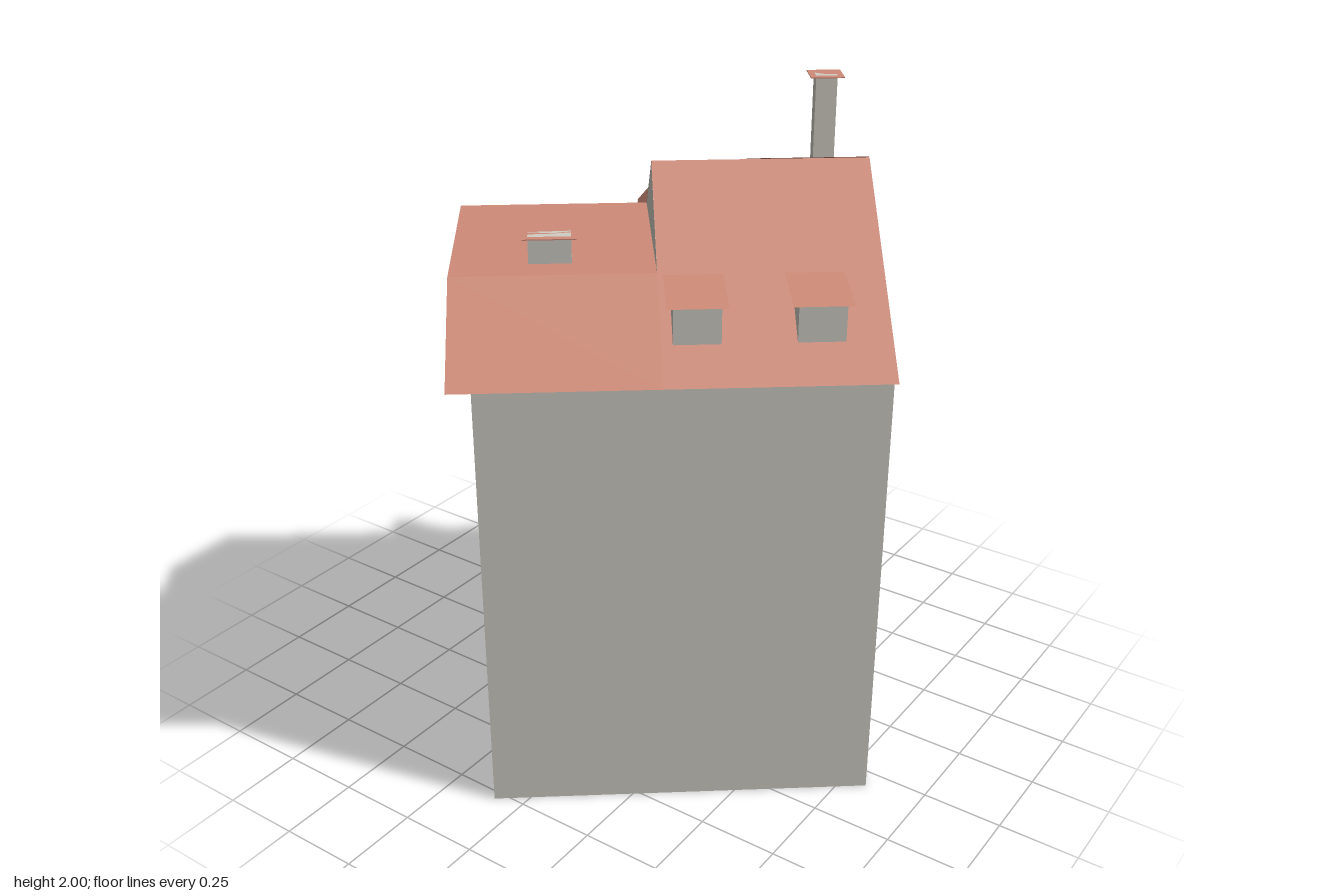
import * as THREE from 'three';

const wallMat = new THREE.MeshStandardMaterial({ color: 0xd0cdc4, side: THREE.DoubleSide });
wallMat.name = 'greyPlaster';
const roofMat = new THREE.MeshStandardMaterial({ color: 0xcf8b78, side: THREE.DoubleSide });
roofMat.name = 'terracottaRoof';

const RIDGE = 1.86, EAVE = 1.41, HALF = 0.62;
const FLAT_Q = 0.317, STEP = -0.03, END = 0.612;
// Height of the main roof slope at distance q from the ridge
const roofY = (q) => RIDGE - (RIDGE - EAVE) * Math.abs(q) / HALF;

export function createModel() {
  const model = new THREE.Group();
  model.name = 'townHouse';
  const house = new THREE.Group();
  house.name = 'house';
  house.rotation.y = 0.663; // the house stands turned on its plot
  model.add(house);

  const add = (name, geometry, material) => {
    const mesh = new THREE.Mesh(geometry, material);
    mesh.name = name;
    house.add(mesh);
    return mesh;
  };

  // Wall block: section given as [z, y] points, run along x from x0 to x1
  const prism = (name, section, x0, x1) => {
    const shape = new THREE.Shape(section.map(([z, y]) => new THREE.Vector2(-z, y)));
    const g = new THREE.ExtrudeGeometry(shape, { depth: x1 - x0, bevelEnabled: false });
    g.rotateY(Math.PI / 2);
    g.translate(x0, 0, 0);
    add(name, g, wallMat);
  };

  // Thin flat sheet from three or four corners, lifted slightly off the walls
  const sheet = (name, pts, material = roofMat, lift = 0.004) => {
    const order = pts.length === 4 ? [0, 1, 2, 0, 2, 3] : [0, 1, 2];
    const pos = order.flatMap((i) => [pts[i][0], pts[i][1] + lift, pts[i][2]]);
    const g = new THREE.BufferGeometry();
    g.setAttribute('position', new THREE.Float32BufferAttribute(pos, 3));
    g.computeVertexNormals();
    add(name, g, material);
  };

  // Rectangle sheet between two heights; corners run counter-clockwise from above
  const slope = (name, x0, x1, zBack, yBack, zFront, yFront, lift) => sheet(name, [
    [x0, yBack, zBack], [x0, yFront, zFront], [x1, yFront, zFront], [x1, yBack, zBack],
  ], roofMat, lift);

  // Walls: low wing, tall wing, and tall wing with raised back
  const F = 0.56, B = -0.575, FLAT_Y = roofY(FLAT_Q);
  prism('lowWingWalls', [[B, 0], [F, 0], [F, roofY(F)], [FLAT_Q, FLAT_Y],
    [-FLAT_Q, FLAT_Y], [B, roofY(B)]], -0.55, STEP);
  prism('tallWingWalls', [[B, 0], [F, 0], [F, roofY(F)], [0, RIDGE], [B, roofY(B)]], STEP, 0.25);
  prism('raisedBackWalls', [[B, 0], [F, 0], [F, roofY(F)], [0, RIDGE], [B, 1.61]], 0.25, END);

  // Main roofs
  slope('lowRoofFront', -0.615, STEP, FLAT_Q, FLAT_Y, HALF, EAVE);
  slope('lowRoofTop', -0.615, STEP, -FLAT_Q, FLAT_Y, FLAT_Q, FLAT_Y);
  slope('lowRoofBack', -0.615, STEP, -HALF, EAVE, -FLAT_Q, FLAT_Y);
  slope('tallRoofFront', STEP, END, 0, RIDGE, HALF, EAVE);
  slope('tallRoofBack', STEP, END, -HALF, EAVE, 0, RIDGE);
  slope('raisedBackRoof', 0.25, END, -0.577, 1.61, 0, RIDGE, 0.006);

  // Front dormers with nearly flat roofs
  for (const x of [0.07, 0.414]) {
    prism('frontDormerWalls', [[0.508, roofY(0.508)], [0.508, 1.604], [0.33, 1.622]],
      x - 0.067, x + 0.067);
    slope('frontDormerRoof', x - 0.085, x + 0.085, 0.323, 1.626, 0.525, 1.602);
  }

  // Small gabled back dormer
  const gx = 0.004, gw = 0.057, gz = -0.449, eaveY = 1.598, topY = 1.664;
  for (const s of [-1, 1]) {
    const corners = [[gx, topY, gz], [gx + s * gw, eaveY, gz],
      [gx + s * gw, eaveY, -0.361], [gx, topY, -0.27]];
    sheet('gableDormerRoof', s < 0 ? corners : corners.reverse());
    const wx = gx + s * (gw - 0.004);
    sheet('gableDormerSide', [[wx, eaveY, gz], [wx, roofY(gz), gz], [wx, eaveY, -0.361]], wallMat, 0);
  }
  sheet('gableDormerFront', [[gx - gw, eaveY, gz], [gx + gw, eaveY, gz],
    [gx + gw, roofY(gz), gz], [gx - gw, roofY(gz), gz]], wallMat, 0);
  sheet('gableDormerPeak', [[gx - gw, eaveY, gz], [gx, topY, gz], [gx + gw, eaveY, gz]], wallMat, 0);

  // Half dormer leaning on the raised back
  const hz = -0.504;
  sheet('halfDormerRoof', [[0.156, eaveY, hz], [0.156, eaveY, -0.363],
    [0.253, 1.69, -0.323], [0.253, 1.645, hz]]);
  sheet('halfDormerFront', [[0.156, eaveY, hz], [0.253, 1.645, hz],
    [0.253, roofY(hz), hz], [0.156, roofY(hz), hz]], wallMat, 0);
  sheet('halfDormerSide', [[0.158, eaveY, hz], [0.158, roofY(hz), hz], [0.158, eaveY, -0.363]], wallMat, 0);
  sheet('halfDormerBack', [[0.156, eaveY, -0.363], [0.253, roofY(0.323), -0.323],
    [0.253, 1.69, -0.323]], wallMat, 0);

  // Chimneys with thin cover plates
  const chimney = (name, x, z, w, d, y0, y1, capW, capD) => {
    add(name, new THREE.BoxGeometry(w, y1 - y0, d), wallMat).position.set(x, (y0 + y1) / 2, z);
    add(name + 'Cap', new THREE.BoxGeometry(capW, 0.003, capD), roofMat).position.set(x, y1 - 0.0015, z);
  };
  chimney('lowChimney', -0.33, 0.2, 0.124, 0.05, 1.6, 1.715, 0.155, 0.095);
  chimney('tallChimney', 0.546, -0.466, 0.068, 0.056, 1.6, 2.0, 0.107, 0.103);

  return model;
}
